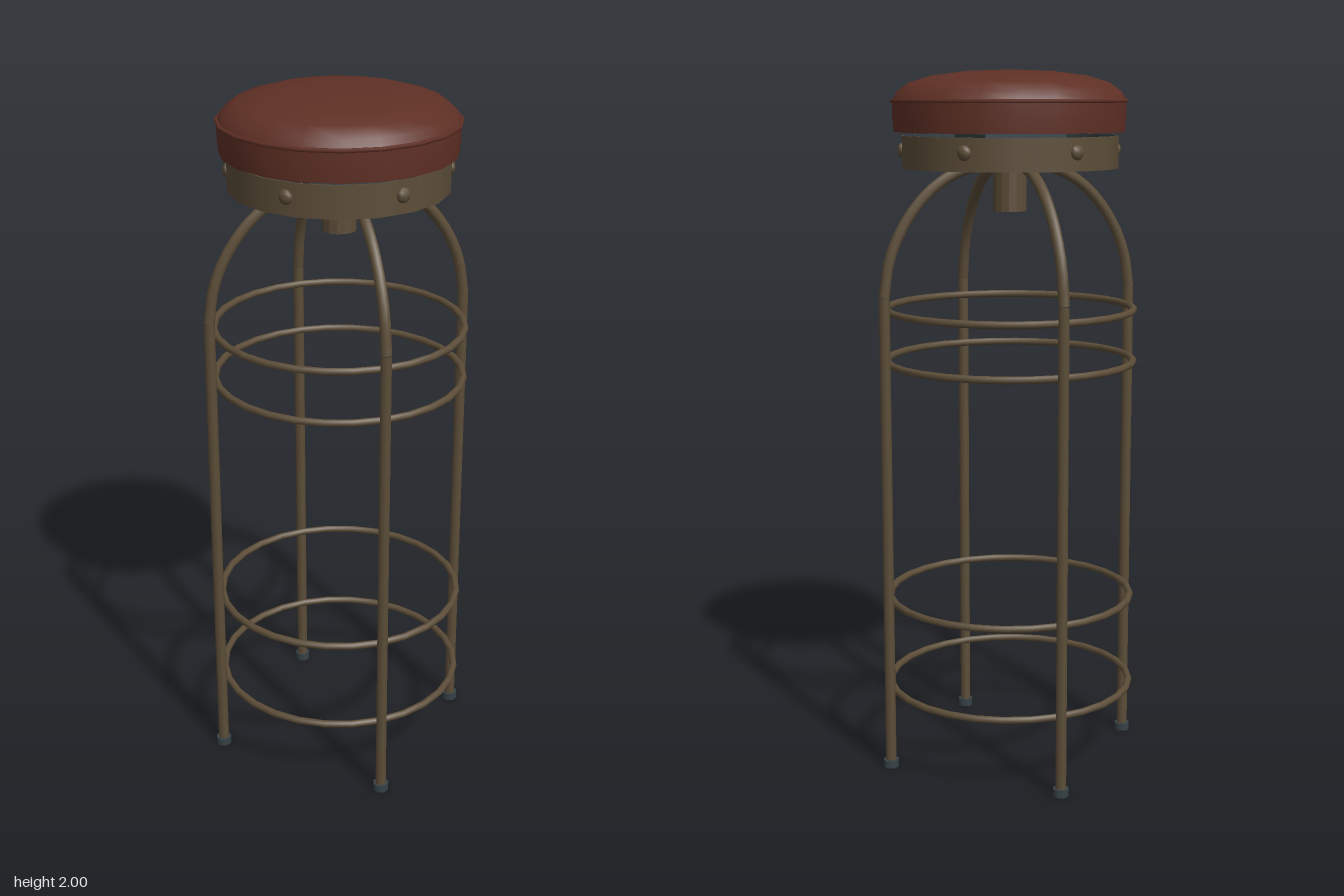
import * as THREE from 'three';

const paint = (name, color) => {
  const m = new THREE.MeshStandardMaterial({ color });
  m.name = name;
  return m;
};

export function createModel() {
  const stool = new THREE.Group();
  stool.name = 'barStool';
  const leather = paint('redLeather', 0x5f3025);
  const bronze = paint('agedBronze', 0x5c4d38);
  const steel = paint('darkSteel', 0x364247);

  const add = (name, geometry, material, x = 0, y = 0, z = 0, parent = stool) => {
    const mesh = new THREE.Mesh(geometry, material);
    mesh.name = name;
    mesh.position.set(x, y, z);
    parent.add(mesh);
    return mesh;
  };
  const lathe = (points, sides) =>
    new THREE.LatheGeometry(points.map(([r, y]) => new THREE.Vector2(r, y)), sides);
  const ring = (r, tube, sides, segments) =>
    new THREE.TorusGeometry(r, tube, sides, segments).rotateX(Math.PI / 2);

  // Cushion: flat underside, upright side, domed top and piping
  add('cushionBase', lathe([[0, 1.83], [0.325, 1.83]], 20), leather);
  add('cushionSide', lathe([[0.325, 1.83], [0.328, 1.87], [0.328, 1.915]], 20), leather);
  add('cushionTop', lathe([[0.328, 1.915], [0.315, 1.94], [0.28, 1.965], [0.22, 1.983],
    [0.12, 1.996], [0, 2.0]], 20), leather);
  add('piping', ring(0.329, 0.006, 6, 20), leather, 0, 1.915);

  // Metal band below the cushion, with a steel inner face and six rivets
  add('seatBand', lathe([[0.305, 1.73], [0.305, 1.82]], 18), bronze);
  add('bandInside', lathe([[0.3, 1.82], [0.3, 1.73]], 18), steel);
  add('bandLowerRim', lathe([[0.3, 1.73], [0.305, 1.73]], 18), bronze);
  add('bandUpperRim', lathe([[0.305, 1.82], [0.3, 1.82]], 18), bronze);
  for (let i = 0; i < 6; i++) {
    const a = THREE.MathUtils.degToRad(16 + i * 60);
    const rivet = add('rivet', new THREE.SphereGeometry(0.021, 8, 6), bronze,
      Math.cos(a) * 0.302, 1.78, Math.sin(a) * 0.302);
    rivet.scale.x = 0.65;
    rivet.rotation.y = -a;
  }

  // Mounting plate and hollow centre post
  add('mountingPlate', new THREE.BoxGeometry(0.24, 0.06, 0.24), steel, 0, 1.795);
  add('centrePost', lathe([[0.036, 1.77], [0.036, 1.61], [0.048, 1.61], [0.048, 1.77]], 14)
    .toNonIndexed(), bronze).geometry.computeVertexNormals();

  // Four bent tube legs with feet
  const path = new THREE.CurvePath();
  const v = (x, y) => new THREE.Vector3(x, y, 0);
  path.add(new THREE.LineCurve3(v(0.376, 0.01), v(0.376, 1.38)));
  const bend = new THREE.CatmullRomCurve3([v(0.376, 1.38), v(0.36, 1.48), v(0.315, 1.58),
    v(0.245, 1.665), v(0.17, 1.715), v(0.1, 1.737), v(0, 1.745)]);
  path.add(bend);
  const straight = new THREE.CylinderGeometry(0.016, 0.016, 1.37, 8, 1, true);
  const curved = new THREE.TubeGeometry(bend, 14, 0.016, 8);
  const foot = new THREE.CylinderGeometry(0.023, 0.023, 0.022, 8);
  for (let i = 0; i < 4; i++) {
    const leg = new THREE.Group();
    leg.name = 'leg';
    leg.rotation.y = i * Math.PI / 2;
    add('legUpright', straight, bronze, 0.376, 0.695, 0, leg);
    add('legBend', curved, bronze, 0, 0, 0, leg);
    add('foot', foot, steel, 0.376, 0.011, 0, leg);
    stool.add(leg);
  }

  // Foot and brace rings
  for (const y of [0.225, 0.49, 1.185, 1.333])
    add('braceRing', ring(0.353, 0.0105, 8, 28), bronze, 0, y);

  return stool;
}
